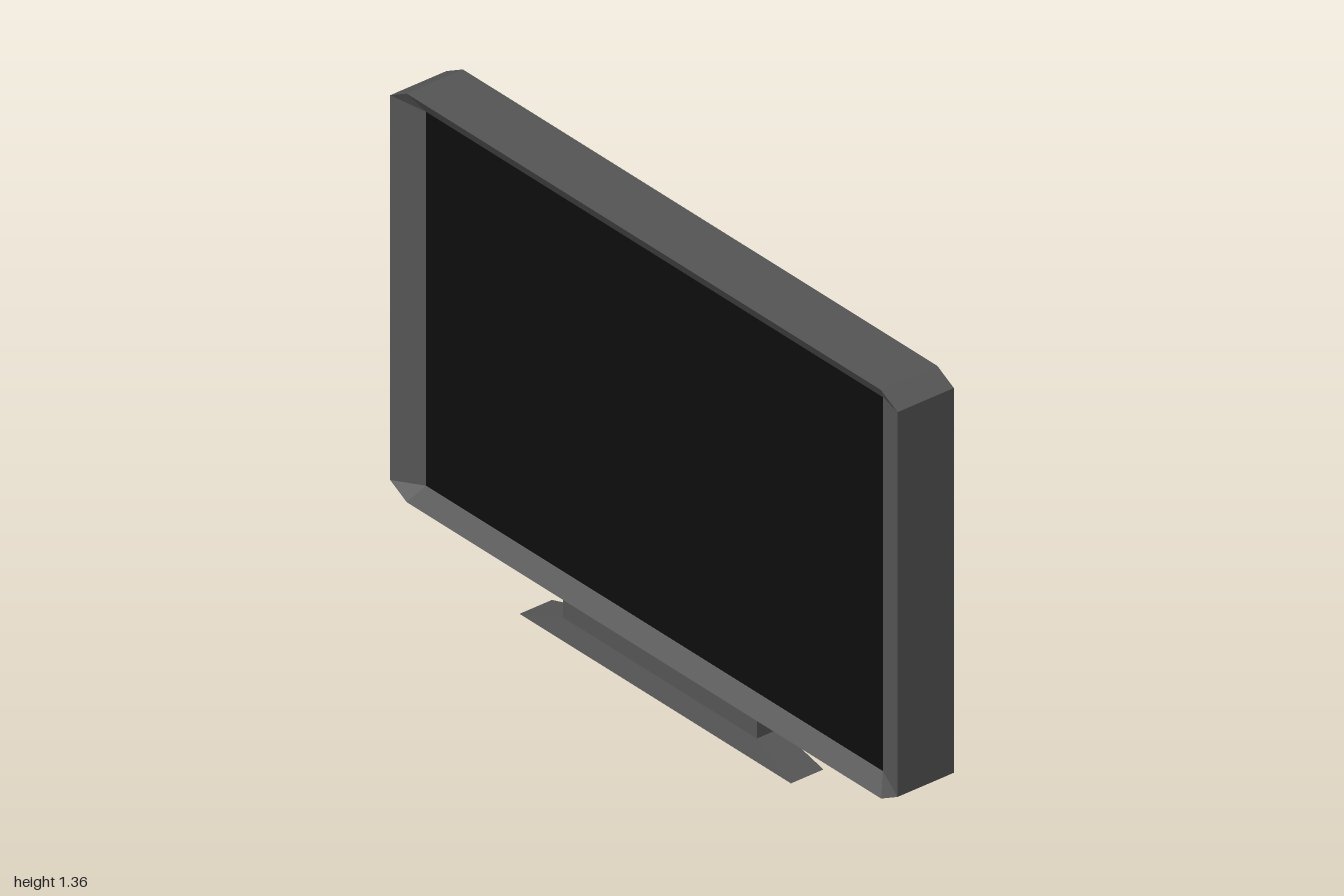
import * as THREE from 'three';

// Skins a stack of point loops (counter-clockwise seen from the last loop's side).
function loft(loops, capStart, capEnd) {
  const pos = [];
  const tri = (a, b, c) => {
    const n = b.clone().sub(a).cross(c.clone().sub(a));
    if (n.length() > 1e-9) for (const p of [a, b, c]) pos.push(p.x, p.y, p.z);
  };
  for (let k = 0; k + 1 < loops.length; k++) {
    const lo = loops[k], hi = loops[k + 1], n = lo.length;
    for (let i = 0; i < n; i++) {
      const j = (i + 1) % n;
      tri(lo[i], lo[j], hi[j]);
      tri(lo[i], hi[j], hi[i]);
    }
  }
  const first = loops[0], last = loops[loops.length - 1];
  for (let i = 1; i + 1 < first.length; i++) {
    if (capStart) tri(first[0], first[i + 1], first[i]);
    if (capEnd) tri(last[0], last[i], last[i + 1]);
  }
  const g = new THREE.BufferGeometry();
  g.setAttribute('position', new THREE.Float32BufferAttribute(pos, 3));
  g.computeVertexNormals();
  return g;
}

// Upright rectangle with cut corners; zero cuts give doubled corner points.
function frameLoop(halfW, halfH, cutX, cutY, y, z) {
  const w = halfW - cutX, h = halfH - cutY;
  return [[-w, -halfH], [w, -halfH], [halfW, -h], [halfW, h], [w, halfH], [-w, halfH], [-halfW, h], [-halfW, -h]]
    .map(([px, py]) => new THREE.Vector3(px, y + py, z));
}

// Level rectangle for the stand.
function standLoop(halfW, halfD, y) {
  return [[-1, 1], [1, 1], [1, -1], [-1, -1]]
    .map(([sx, sz]) => new THREE.Vector3(sx * halfW, y, sz * halfD));
}

export function createModel() {
  const group = new THREE.Group();
  const casing = new THREE.MeshStandardMaterial({ color: 0x555555, flatShading: true });
  const glass = new THREE.MeshStandardMaterial({ color: 0x0d0d0d, flatShading: true });
  const add = (name, geometry, material) => {
    const mesh = new THREE.Mesh(geometry, material);
    mesh.name = name;
    group.add(mesh);
    return mesh;
  };

  const midY = 0.759, depth = 0.092, screenZ = 0.057;

  // Casing with cut corners and a bezel sloping in to the screen
  add('casing', loft([
    frameLoop(1, 0.601, 0.065, 0.035, midY, -depth),
    frameLoop(1, 0.601, 0.065, 0.035, midY, depth),
    frameLoop(0.9, 0.55, 0, 0, midY, screenZ),
  ], true, false), casing);

  // Recessed screen
  add('screen', new THREE.PlaneGeometry(1.8, 1.1), glass).position.set(0, midY, screenZ);

  // Flared foot running up into a straight neck
  const stand = add('stand', loft([
    standLoop(0.535, 0.053, 0),
    standLoop(0.382, 0.038, 0.055),
    standLoop(0.382, 0.038, 0.16),
  ], true, true), casing);
  stand.position.x = -0.002;

  return group;
}
